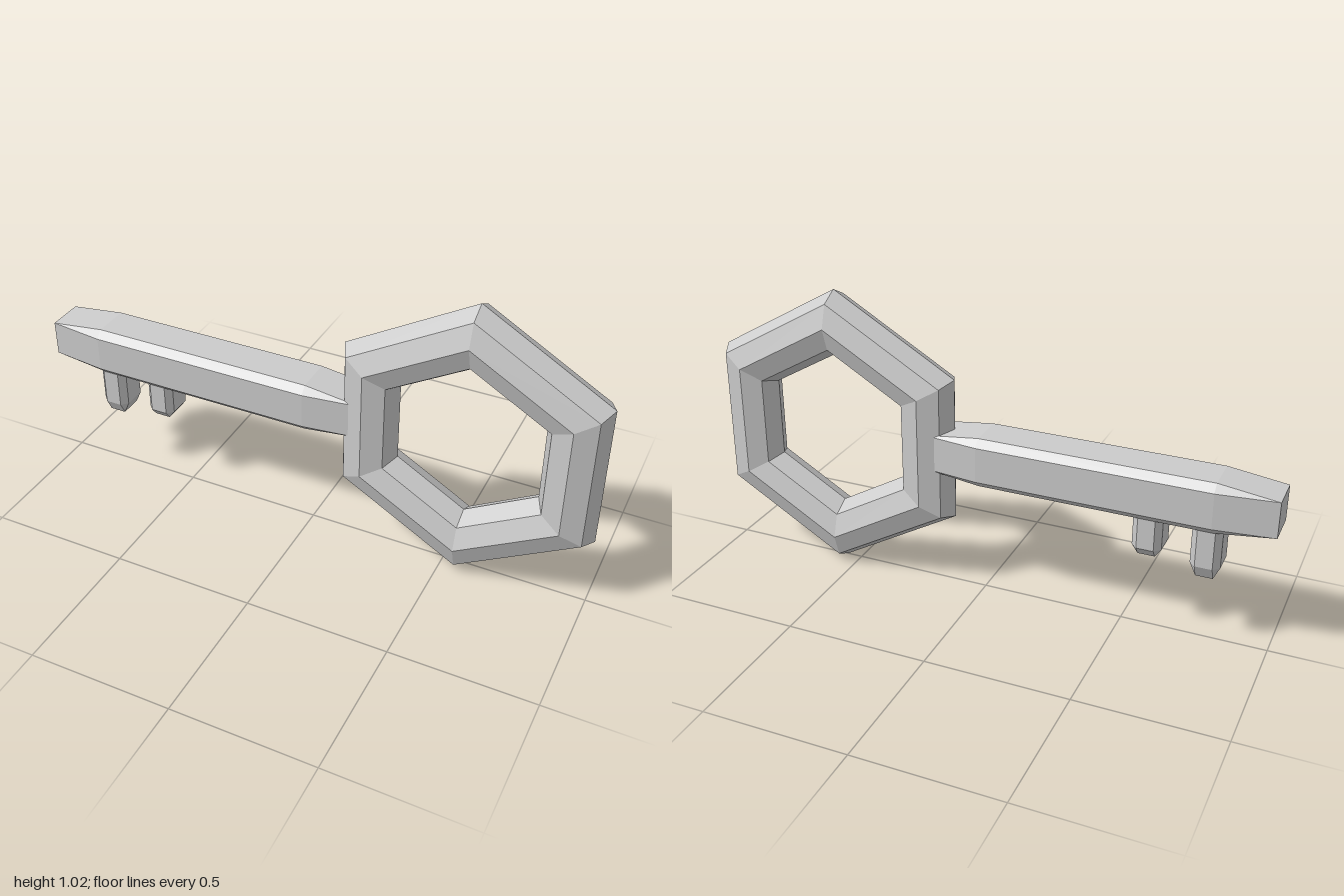
import * as THREE from 'three';
import { ConvexGeometry } from 'three/addons/geometries/ConvexGeometry.js';

const material = new THREE.MeshStandardMaterial({ color: 0xcccccc, flatShading: true });

// Octagonal bar along x whose ends taper to a rectangle.
// u/v: [narrow, wide] half sizes across y and z; taper0/taper1: taper lengths at both ends.
function taperedBar(x0, x1, taper0, taper1, u, v) {
  const points = [];
  for (const sy of [-1, 1]) {
    for (const sz of [-1, 1]) {
      for (const x of [x0, x1]) points.push(new THREE.Vector3(x, sy * u[0], sz * v[0]));
      for (const x of [x0 + taper0, x1 - taper1]) {
        points.push(new THREE.Vector3(x, sy * u[1], sz * v[0]));
        points.push(new THREE.Vector3(x, sy * u[0], sz * v[1]));
      }
    }
  }
  return new ConvexGeometry(points);
}

function addPart(parent, name, geometry) {
  const mesh = new THREE.Mesh(geometry, material);
  mesh.name = name;
  parent.add(mesh);
  return mesh;
}

export function createModel() {
  const key = new THREE.Group();
  key.name = 'key';

  // Hexagonal ring handle with an octagonal section, one corner pointing up
  const ring = new THREE.TorusGeometry(0.397, 0.115, 8, 6);
  ring.rotateZ(Math.PI / 6);
  ring.scale(1, 1, 0.783);
  addPart(key, 'handleRing', ring).position.set(0.557, 0.513, 0);

  // Shaft, running into the side of the ring
  const shaft = taperedBar(-1, 0.2, 0.2, 0.2, [0.0625, 0.088], [0.065, 0.09]);
  addPart(key, 'shaft', shaft).position.y = 0.517;

  // Two teeth hanging below the shaft: [x, bottom, taper]
  for (const [x, bottom, taper] of [[-0.78, 0.25, 0.045], [-0.585, 0.287, 0.03]]) {
    const tooth = taperedBar(bottom, 0.5, taper, 0.04, [0.029, 0.05], [0.04, 0.062]);
    tooth.rotateZ(Math.PI / 2);
    addPart(key, 'tooth', tooth).position.x = x;
  }

  return key;
}
